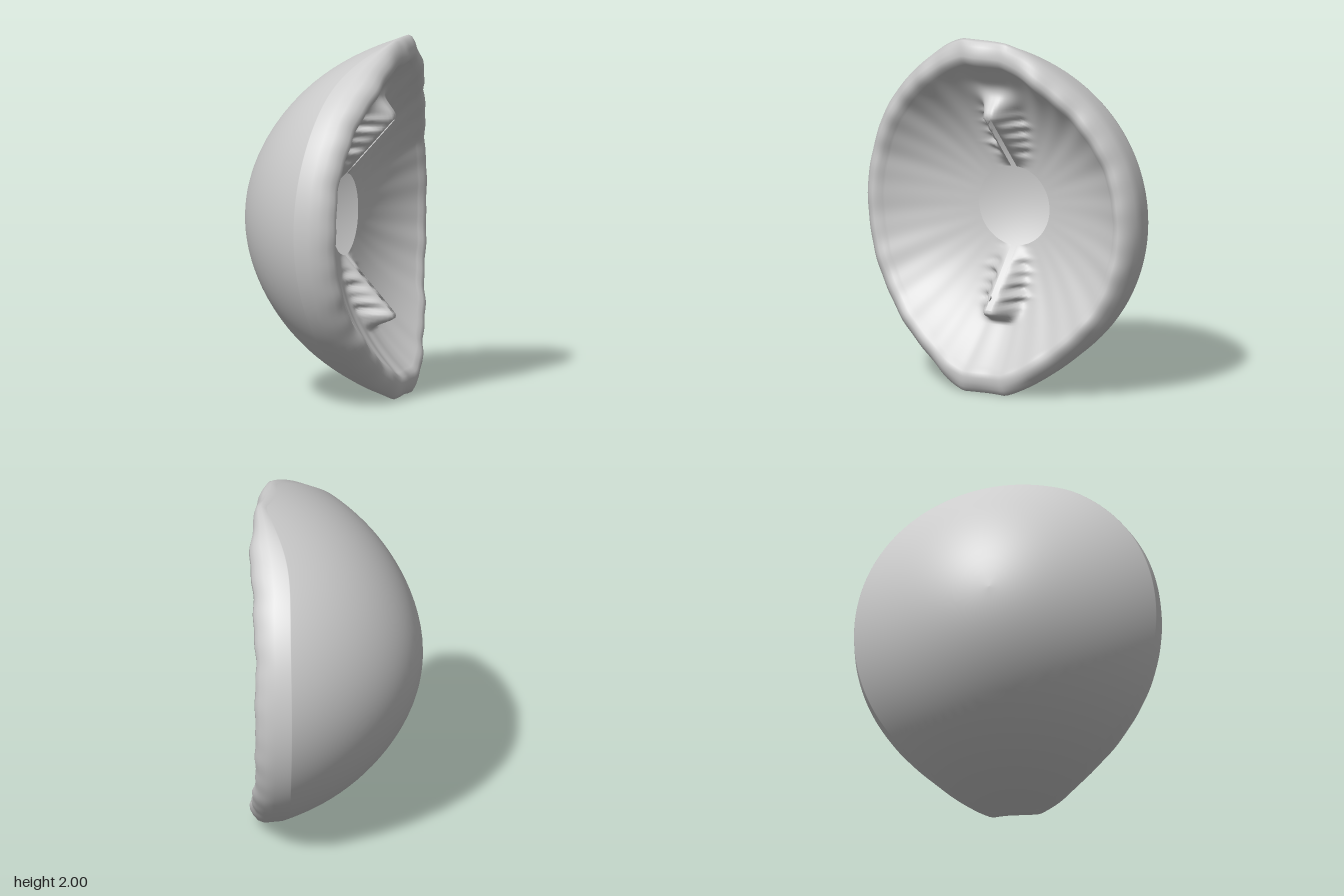
import * as THREE from 'three';

const SEG = 288, OUTER = 24, INNER = 48;
const HUB = 0.225, SLOT_END = 0.55, SLOT_HALF = 0.018;
const { clamp, lerp, smoothstep } = THREE.MathUtils;

// Outline of the bowl: a is the angle from straight up, c how far it points up or down
function rimShape(a) {
  const c = Math.abs(Math.cos(a));
  const chip = 0.006 * Math.sin(13 * a + 1) + 0.004 * Math.sin(29 * a);
  return {
    radius: Math.min(0.86 + 0.07 * c ** 2 + 0.09 * c ** 14, 1 / c),
    rimX: 0.28 + 0.165 * c ** 3 + chip * (0.3 + 0.7 * c)
  };
}

// Depth of the round outer dome at a given radius
const domeX = r => -0.47 + 0.66 * r ** 2 + 0.2 * r ** 8;

// Raised, puckered ridge that climbs from the hub hole to each end of the slot
function ridgeX(base, y, z) {
  const d = Math.abs(y), up = y > 0;
  let crest = lerp(0.075, 0.36, clamp((d - HUB) / 0.32, 0, 1));
  if (d > 0.56) crest = lerp(crest, base, smoothstep(d, 0.56, up ? 0.74 : 0.64));
  const flare = up ? 0.4 * Math.max(0, d - 0.58) : 0;
  const folds = Math.sin(d * 95) + 0.6 * Math.sin(d * 57 + Math.sign(z));
  const pucker = 0.012 * folds * smoothstep(d, 0.24, 0.32) * (1 - smoothstep(d, 0.5, 0.58));
  const fall = Math.exp(-((Math.max(0, Math.abs(z) - SLOT_HALF) / (0.06 + flare + pucker)) ** 2));
  return base + Math.max(0, crest - base) * fall;
}

// One cross-section from the outer pole, over the rim, down to the hub hole: [x, y, z]
function section(a) {
  const { radius: R, rimX } = rimShape(a);
  const cos = Math.cos(a), sin = Math.sin(a), pts = [];
  const put = (r, x) => pts.push([x, r * cos, r * sin]);
  for (let i = 0; i <= OUTER; i++) {
    const r = 0.985 * R * Math.sin((i / OUTER) * Math.PI / 2);
    put(r, domeX(r));
  }
  // Broad rounded rim: fraction of the radius, fraction of the way up to the crest
  const rim = [[1, 0.4], [0.992, 0.64], [0.968, 0.84], [0.938, 0.96], [0.908, 1], [0.878, 0.95]];
  for (const [f, h] of rim) put(R * f, lerp(domeX(R * 0.985), rimX, h));
  // Inner dish, with the slot edges pushed apart
  for (let i = 0; i <= INNER; i++) {
    const s = 1 - i / INNER, r = lerp(HUB, R * 0.855, s);
    const base = 0.07 + (rimX - 0.1) * (0.4 * s + 0.6 * s ** 2.5);
    const y = r * cos;
    let z = r * sin;
    if (r < SLOT_END) z = Math.sign(z) * Math.max(Math.abs(z), SLOT_HALF);
    pts.push([ridgeX(base, y, z), y, z]);
  }
  return pts;
}

// Hollow double wall: outer dome, rim and inner dish in one skin
function shellGeometry() {
  const pos = [], index = [], sections = [];
  for (let j = 0; j < SEG; j++) sections.push(section(((j + 0.5) / SEG) * Math.PI * 2));
  const rows = sections[0].length;
  for (const pts of sections) for (const [x, y, z] of pts) pos.push(x, 1 + y, z);
  for (let j = 0; j < SEG; j++) {
    const p = j * rows, q = ((j + 1) % SEG) * rows;
    const onSlot = j === SEG - 1 || j === SEG / 2 - 1;
    for (let i = 0; i < rows - 1; i++) {
      const [, y, z] = sections[j][i];
      // Leave the two slots open
      if (onSlot && i >= rows - INNER && Math.hypot(y, z) < SLOT_END) continue;
      if (i > 0) index.push(p + i, q + i, p + i + 1);
      index.push(q + i, q + i + 1, p + i + 1);
    }
  }
  const g = new THREE.BufferGeometry();
  g.setAttribute('position', new THREE.Float32BufferAttribute(pos, 3));
  g.setIndex(index);
  g.computeVertexNormals();
  return g;
}

export function createModel() {
  const group = new THREE.Group();
  const material = new THREE.MeshStandardMaterial({ color: 0xcccccc, side: THREE.DoubleSide });
  // Bowl opening sideways, with a round hole and two slots in its inner wall
  const shell = new THREE.Mesh(shellGeometry(), material);
  shell.name = 'bowlShell';
  group.add(shell);
  return group;
}
